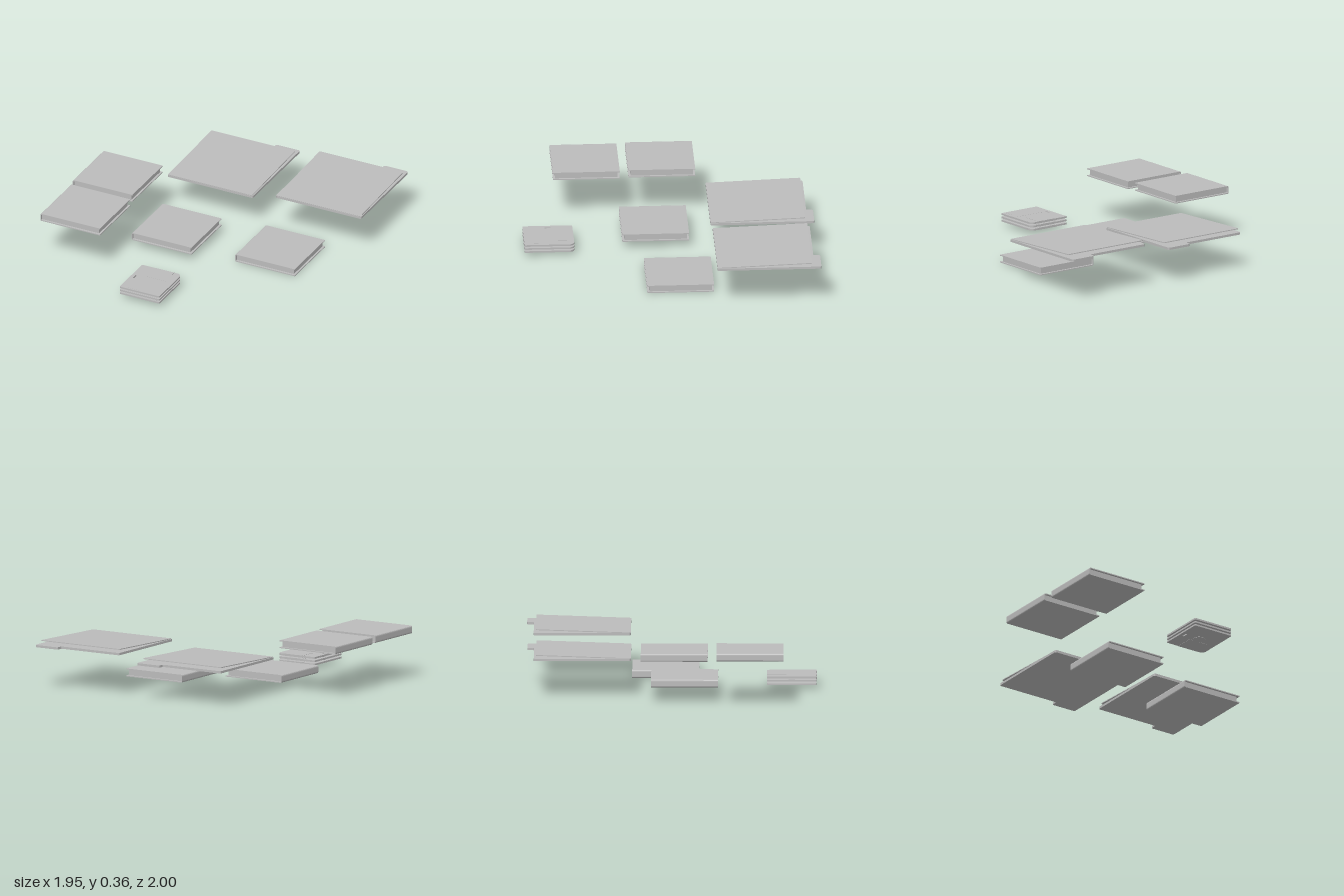
import * as THREE from 'three';

const grey = new THREE.MeshStandardMaterial({ color: 0xbcbcbc });
grey.name = 'plain grey';

// Add a named mesh to a parent
function add(parent, name, geometry, x = 0, y = 0, z = 0) {
  const mesh = new THREE.Mesh(geometry, grey);
  mesh.name = name;
  mesh.position.set(x, y, z);
  parent.add(mesh);
  return mesh;
}

const box = (w, h, d) => new THREE.BoxGeometry(w, h, d);

// Outline from [x, z] corners, each one softened by radius r
function outline(points, r) {
  const shape = new THREE.Shape();
  const v = points.map(([x, z]) => new THREE.Vector2(x, -z));
  v.forEach((p, i) => {
    const prev = v[(i + v.length - 1) % v.length];
    const next = v[(i + 1) % v.length];
    const a = p.clone().add(prev.clone().sub(p).setLength(r));
    const b = p.clone().add(next.clone().sub(p).setLength(r));
    if (i === 0) shape.moveTo(a.x, a.y);
    else shape.lineTo(a.x, a.y);
    shape.quadraticCurveTo(p.x, p.y, b.x, b.y);
  });
  shape.closePath();
  return shape;
}

// Flat slab lying on y = 0
function slab(shape, thickness) {
  return new THREE.ExtrudeGeometry(shape, { depth: thickness, bevelEnabled: false, curveSegments: 4 })
    .rotateX(-Math.PI / 2);
}

// Book: wrapped cover with the spine on -x, and an inset page block
function makeBook(x, y, z) {
  const book = new THREE.Group();
  book.name = 'book';
  const w = 0.46, h = 0.055, t = 0.007, r = 0.012;
  const c = new THREE.Shape();
  c.moveTo(w / 2, 0);
  c.lineTo(w / 2, t);
  c.lineTo(-w / 2 + r, t);
  c.quadraticCurveTo(-w / 2 + t, t, -w / 2 + t, r);
  c.lineTo(-w / 2 + t, h - r);
  c.quadraticCurveTo(-w / 2 + t, h - t, -w / 2 + r, h - t);
  c.lineTo(w / 2, h - t);
  c.lineTo(w / 2, h);
  c.lineTo(-w / 2 + r, h);
  c.quadraticCurveTo(-w / 2, h, -w / 2, h - r);
  c.lineTo(-w / 2, r);
  c.quadraticCurveTo(-w / 2, 0, -w / 2 + r, 0);
  const cover = new THREE.ExtrudeGeometry(c, { depth: w, bevelEnabled: false, curveSegments: 4 });
  add(book, 'bookCover', cover, 0, 0, -w / 2);
  add(book, 'pageBlock', box(w - 0.02, h - 2 * t, w - 0.03), -0.004, h / 2, 0);
  book.position.set(x, y, z);
  return book;
}

// Folder: tabbed back sheet with a slightly opened front sheet hinged at +z
function makeFolder(x, y, z) {
  const folder = new THREE.Group();
  folder.name = 'folder';
  const back = outline([
    [-0.33, 0], [0.33, 0], [0.33, -0.715], [0.145, -0.715], [0.145, -0.668], [-0.33, -0.668],
  ], 0.014);
  add(folder, 'folderBack', slab(back, 0.016));
  const front = outline([[-0.322, 0], [0.322, 0], [0.322, -0.65], [-0.322, -0.65]], 0.01);
  const cover = add(folder, 'folderFront', slab(front, 0.006), 0, 0.013, -0.002);
  cover.rotation.x = 0.034;
  folder.position.set(x, y, z);
  return folder;
}

// Floppy disk: chamfered shell with shutter, label, notch and hub
function makeDisk(x, y, z) {
  const disk = new THREE.Group();
  disk.name = 'floppyDisk';
  const t = 0.012;
  const shell = outline([
    [-0.153, 0.17], [0.153, 0.17], [0.153, -0.15], [0.133, -0.172], [-0.153, -0.172],
  ], 0.009);
  const notch = new THREE.Path();
  notch.moveTo(-0.126, -0.02);
  notch.lineTo(-0.114, -0.02);
  notch.lineTo(-0.114, 0.022);
  notch.lineTo(-0.126, 0.022);
  notch.closePath();
  shell.holes.push(notch);
  add(disk, 'diskShell', slab(shell, t));
  for (const side of [-0.0005, t + 0.0005]) {
    add(disk, 'shutterPlate', box(0.15, 0.002, 0.135), 0.02, side, -0.104);
  }
  add(disk, 'shutterEdge', box(0.15, t + 0.002, 0.002), 0.02, t / 2, -0.1715);
  add(disk, 'label', box(0.23, 0.001, 0.14), 0.01, t + 0.0003, 0.09);
  add(disk, 'hub', new THREE.CylinderGeometry(0.042, 0.042, 0.003, 24), 0, -0.001, 0);
  disk.position.set(x, y, z);
  return disk;
}

export function createModel() {
  const model = new THREE.Group();
  model.name = 'officeSupplies';

  // Four books
  for (const [x, y, z] of [
    [-0.75, 0.307, 0.02], [-0.735, 0.307, 0.54], [-0.26, 0.05, 0.088], [0.47, 0, -0.045],
  ]) model.add(makeBook(x, y, z));

  // Two folders
  model.add(makeFolder(-0.19, 0.239, -0.28));
  model.add(makeFolder(0.643, 0.285, -0.285));

  // Stack of three disks
  for (const y of [0.029, 0.052, 0.075]) model.add(makeDisk(-0.085, y, 0.825));

  return model;
}
